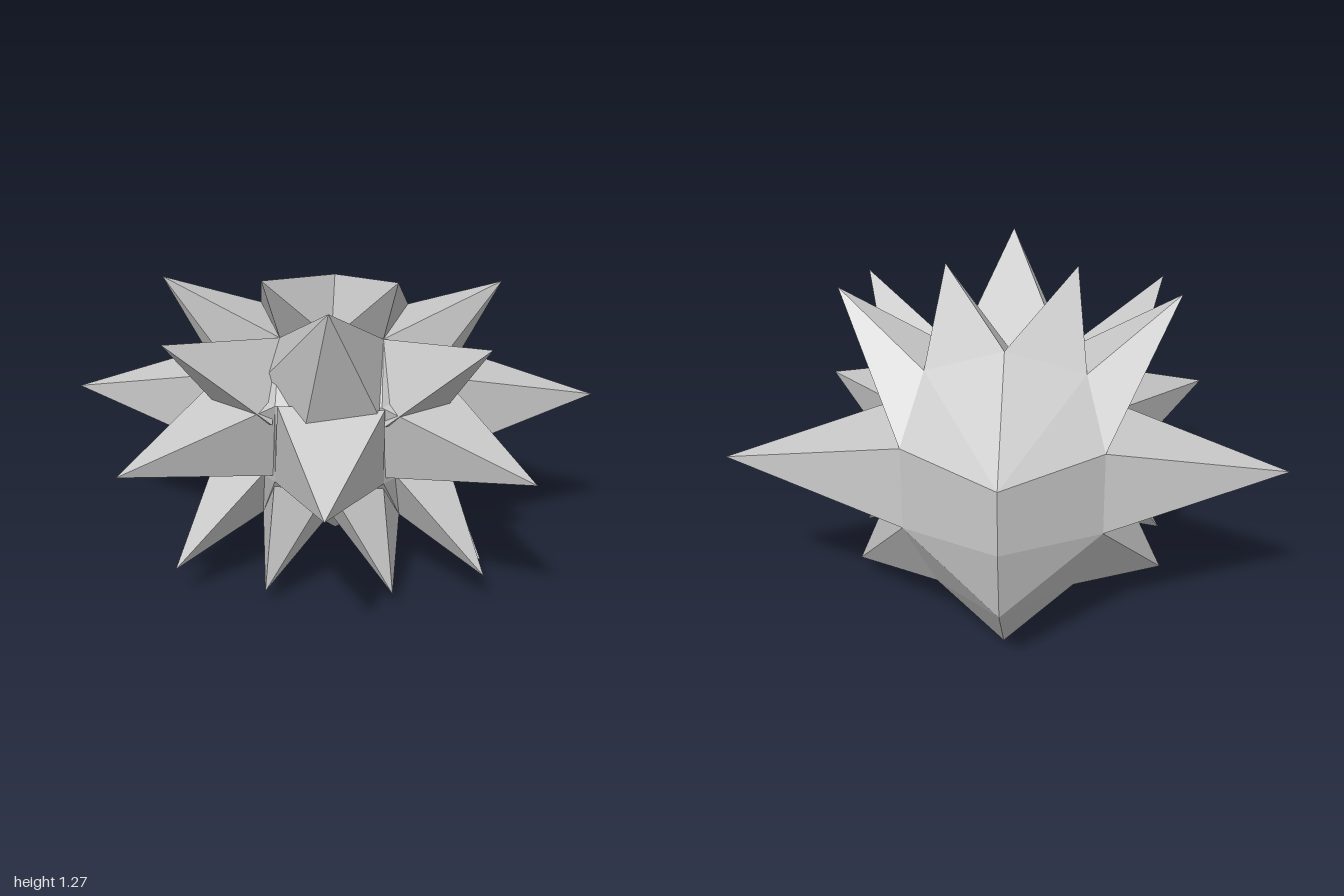
import * as THREE from 'three';
import { ConvexGeometry } from 'three/addons/geometries/ConvexGeometry.js';

const material = new THREE.MeshStandardMaterial({ color: 0xcccccc, flatShading: true });

// Corners shared by the core and the spikes (model's left half, x >= 0)
const P = {
  crown: [0, 1.14, -0.355], crownSide: [0.28, 1.04, -0.31],
  topFront: [0, 1.0, -0.03], topSide: [0.19, 1.0, -0.04],
  browFront: [0.19, 0.84, 0.22], browSide: [0.42, 0.82, -0.115],
  backSide: [0.35, 0.83, -0.49], backTop: [0, 0.83, -0.765],
  backMid: [0, 0.585, -0.765], backLow: [0, 0.295, -0.7],
  jawFront: [0.2, 0.51, 0.16], jawSide: [0.42, 0.5, -0.125], jawBack: [0.35, 0.515, -0.49],
  jawMid: [0, 0.5, 0.18],
  lowFront: [0, 0.33, 0.06], lowSide: [0.26, 0.3, 0.0],
  lowBack: [0.25, 0.2, -0.34], lowMid: [0, 0.24, -0.2],
};

const mirror = ([x, y, z]) => [-x, y, z];

function hull(name, points) {
  const mesh = new THREE.Mesh(
    new ConvexGeometry(points.map((p) => new THREE.Vector3(...p))), material);
  mesh.name = name;
  return mesh;
}

// Paired spikes: name, tip, base corners
const pairs = [
  ['sideSpike', [1, 0.68, -0.31], ['browSide', 'backSide', 'jawBack', 'jawSide']],
  ['frontSideSpike', [0.73, 0.66, 0.45],
    ['browFront', 'browSide', [0.42, 0.55, -0.06], [0.2, 0.53, 0.15]]],
  ['upperSideSpike', [0.61, 1.23, -0.04],
    ['crownSide', 'backSide', 'browSide', 'topSide', [0.36, 0.86, -0.04]]],
  ['upperFrontSpike', [0.56, 1.13, 0.38],
    ['topSide', 'browSide', [0.42, 0.75, 0.02], [0.2, 0.77, 0.23]]],
  ['topSpike', [0.24, 1.27, 0.11], ['crown', 'crownSide', 'topSide', 'topFront']],
  ['lowerFrontSideSpike', [0.58, 0.14, 0.18],
    [[0.24, 0.53, 0.12], [0.42, 0.56, -0.06], 'jawSide', 'lowSide']],
  ['lowerSideSpike', [0.58, 0.09, -0.03], ['jawSide', 'jawBack', 'lowBack', 'lowSide']],
  ['lowerFrontSpike', [0.24, 0.065, 0.2], ['jawMid', [0.2, 0.51, 0.2], 'lowSide', 'lowFront']],
  ['bottomSpike', [0.24, 0.02, -0.045], ['lowFront', 'lowSide', 'lowBack', 'lowMid']],
];

export function createModel() {
  const group = new THREE.Group();
  group.name = 'spikyHair';

  // Solid core with the ridged back
  const corners = Object.values(P);
  group.add(hull('core', [...corners, ...corners.filter((p) => p[0] > 0).map(mirror)]));

  // Mirrored four-sided spikes
  for (const [name, tip, base] of pairs) {
    const points = [tip, ...base.map((b) => (typeof b === 'string' ? P[b] : b))];
    group.add(hull(name + 'Left', points));
    group.add(hull(name + 'Right', points.map(mirror)));
  }

  // Centre spikes
  group.add(hull('frontSpike', [[0.01, 0.67, 0.765],
    [0.2, 0.84, 0.24], [-0.18, 0.85, 0.24], P.jawFront, mirror(P.jawFront)]));
  group.add(hull('fringeSpike', [[0.01, 1.28, 0.46], P.topSide, mirror(P.topSide),
    [0.19, 0.9, 0.06], [-0.23, 0.9, 0.08], [0.18, 0.82, 0.25], [-0.08, 0.79, 0.31]]));
  group.add(hull('napeSpike', [[0, 0.005, -0.43],
    P.backLow, P.lowBack, mirror(P.lowBack), P.lowMid]));

  return group;
}
